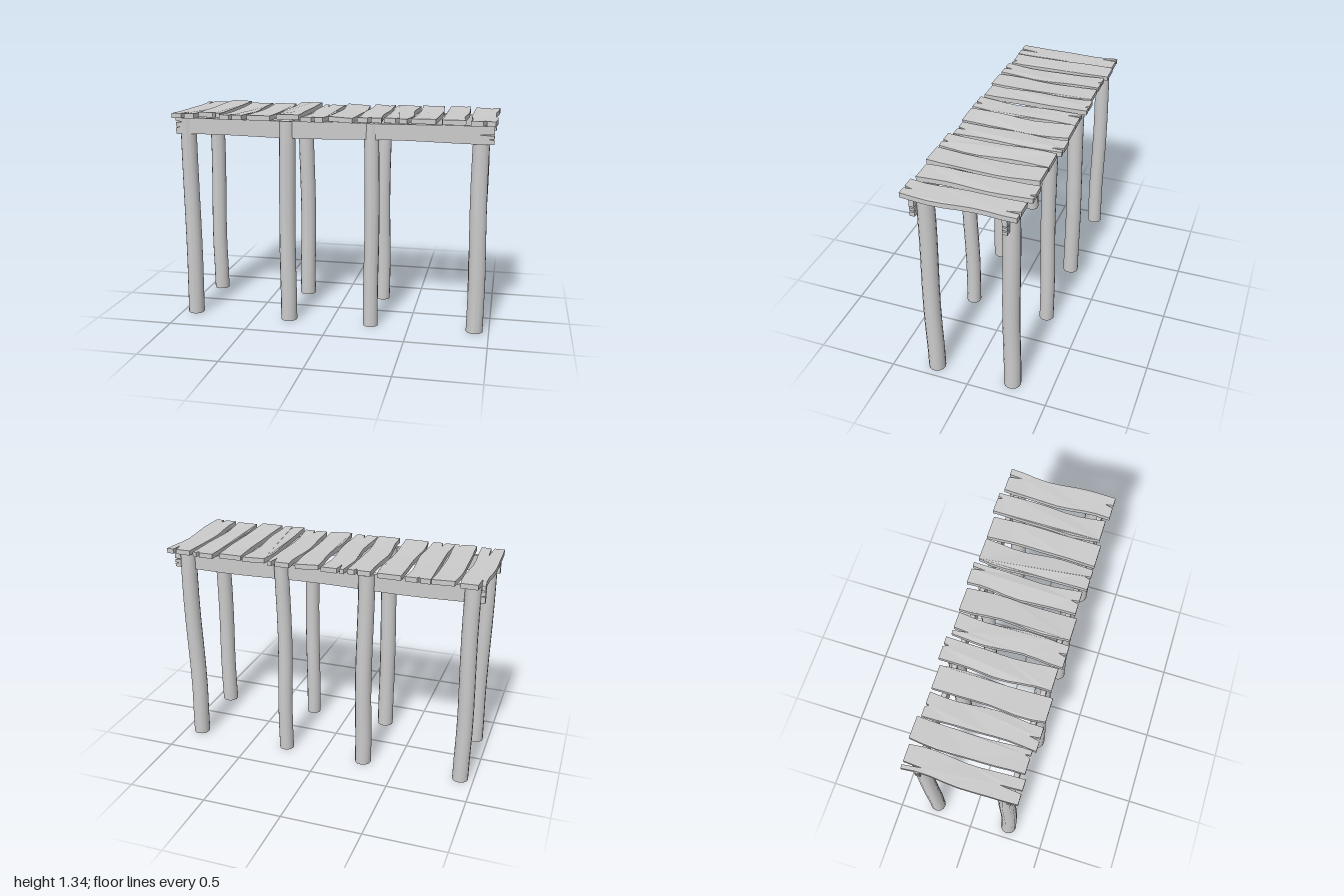
import * as THREE from 'three';

const material = new THREE.MeshStandardMaterial({ color: 0xcccccc });

function part(name, geometry) {
  const mesh = new THREE.Mesh(geometry, material);
  mesh.name = name;
  return mesh;
}

// Straight extrusion of a closed outline
function extrude(points, depth) {
  const shape = new THREE.Shape(points.map(([x, y]) => new THREE.Vector2(x, y)));
  return new THREE.ExtrudeGeometry(shape, { depth, bevelEnabled: false });
}

// Deck board: wavy long sides, split ends, a slight sag in the middle.
// Cracks are [x position, length] for the back and the front end.
function plank({ x0, x1, z0, z1, top, tilt = 0, back, front }, i) {
  const steps = 8;
  const left = [], right = [];
  for (let k = 0; k <= steps; k++) {
    const t = k / steps, z = THREE.MathUtils.lerp(z0, z1, t);
    const bend = 0.007 * Math.sin(t * 7 + i * 1.9);
    left.push([x0 + 0.006 + bend + 0.004 * Math.sin(t * 11 + i * 2.7), z]);
    right.push([x1 - 0.006 + bend + 0.004 * Math.sin(t * 10 + i * 4.1), z]);
  }
  const notch = (crack, z, dir) => crack
    ? [[crack[0] - 0.011, z], [crack[0] + 0.003, z + dir * crack[1]], [crack[0] + 0.009, z]] : [];
  const outline = [
    ...left.reverse(), ...notch(back, z0, 1), ...right, ...notch(front, z1, -1).reverse(),
  ];
  const geometry = extrude(outline, 0.03);
  geometry.rotateX(Math.PI / 2); // outline y becomes z, thickness goes down
  const p = geometry.attributes.position, mid = (x0 + x1) / 2;
  for (let v = 0; v < p.count; v++) {
    const s = p.getZ(v) / 0.34;
    p.setY(v, p.getY(v) + top - 0.008 * (1 - s * s) + tilt * (p.getX(v) - mid));
  }
  geometry.computeVertexNormals();
  return part('plank', geometry);
}

// Long bearer under the boards, split at both ends
function beam(z, phase) {
  const bottom = [], top = [];
  for (let k = 0; k <= 12; k++) {
    const x = -0.985 + (1.97 * k) / 12;
    bottom.push([x, 1.189 + 0.005 * Math.sin(k * 0.9 + phase)]);
    top.push([x, 1.291 + 0.002 * Math.sin(k * 1.3 + phase)]);
  }
  const split = (side, y, length) => [
    [side * 0.985, y - 0.005], [side * (0.985 - length), y], [side * 0.985, y + 0.004],
  ];
  const outline = [
    ...bottom, ...split(1, 1.215, 0.03), ...split(1, 1.241, 0.11),
    ...top.reverse(), ...split(-1, 1.268, 0.07).reverse(), ...split(-1, 1.235, 0.03).reverse(),
  ];
  const geometry = extrude(outline, 0.03);
  geometry.translate(0, 0, z - 0.015);
  return part('beam', geometry);
}

// Round pole with a gentle crook
function post([x, z, r], i) {
  const height = 1.29;
  const geometry = new THREE.CylinderGeometry(r * 0.96, r, height, 14, 8);
  geometry.translate(0, height / 2, 0);
  const p = geometry.attributes.position;
  for (let v = 0; v < p.count; v++) {
    const y = p.getY(v);
    p.setX(v, p.getX(v) + x + 0.005 * Math.sin(y * 4.5 + i * 2.3) * Math.min(1, y * 3));
    p.setZ(v, p.getZ(v) + z + 0.005 * Math.sin(y * 5 + i * 1.7) * Math.min(1, y * 3));
  }
  geometry.computeVertexNormals();
  return part('post', geometry);
}

export function createModel() {
  const model = new THREE.Group();
  model.name = 'pier';

  // Boards from left to right across the deck
  const planks = [
    { x0: -1.0, x1: -0.845, z0: -0.338, z1: 0.335, top: 1.326, back: [-0.96, 0.11], front: [-0.92, 0.13] },
    { x0: -0.835, x1: -0.685, z0: -0.35, z1: 0.322, top: 1.335, tilt: -0.03, front: [-0.72, 0.03] },
    { x0: -0.678, x1: -0.523, z0: -0.33, z1: 0.343, top: 1.325, back: [-0.61, 0.02], front: [-0.61, 0.06] },
    { x0: -0.513, x1: -0.353, z0: -0.33, z1: 0.343, top: 1.326 },
    { x0: -0.337, x1: -0.187, z0: -0.35, z1: 0.322, top: 1.335, back: [-0.24, 0.03] },
    { x0: -0.167, x1: -0.015, z0: -0.33, z1: 0.343, top: 1.324, back: [-0.125, 0.09], front: [-0.09, 0.05] },
    { x0: -0.002, x1: 0.158, z0: -0.336, z1: 0.336, top: 1.328, tilt: -0.06 },
    { x0: 0.166, x1: 0.318, z0: -0.35, z1: 0.32, top: 1.328, back: [0.28, 0.08], front: [0.25, 0.05] },
    { x0: 0.333, x1: 0.488, z0: -0.33, z1: 0.343, top: 1.331, tilt: -0.04, front: [0.42, 0.04] },
    { x0: 0.503, x1: 0.657, z0: -0.33, z1: 0.343, top: 1.332 },
    { x0: 0.67, x1: 0.818, z0: -0.35, z1: 0.325, top: 1.329, back: [0.78, 0.03] },
    { x0: 0.838, x1: 0.998, z0: -0.33, z1: 0.342, top: 1.327, back: [0.95, 0.08], front: [0.93, 0.05] },
  ];
  const deck = new THREE.Group();
  deck.name = 'deck';
  planks.forEach((p, i) => deck.add(plank(p, i)));
  model.add(deck);

  // Bearers
  model.add(beam(0.278, 0.4), beam(-0.254, 2.2));

  // Poles as [x, z, radius], front row then back row
  const posts = [
    [-0.915, 0.25, 0.052], [-0.277, 0.26, 0.052], [0.257, 0.259, 0.047], [0.91, 0.237, 0.053],
    [-0.916, -0.262, 0.05], [-0.277, -0.266, 0.052], [0.257, -0.262, 0.047], [0.892, -0.255, 0.053],
  ];
  posts.forEach((p, i) => model.add(post(p, i)));

  return model;
}
